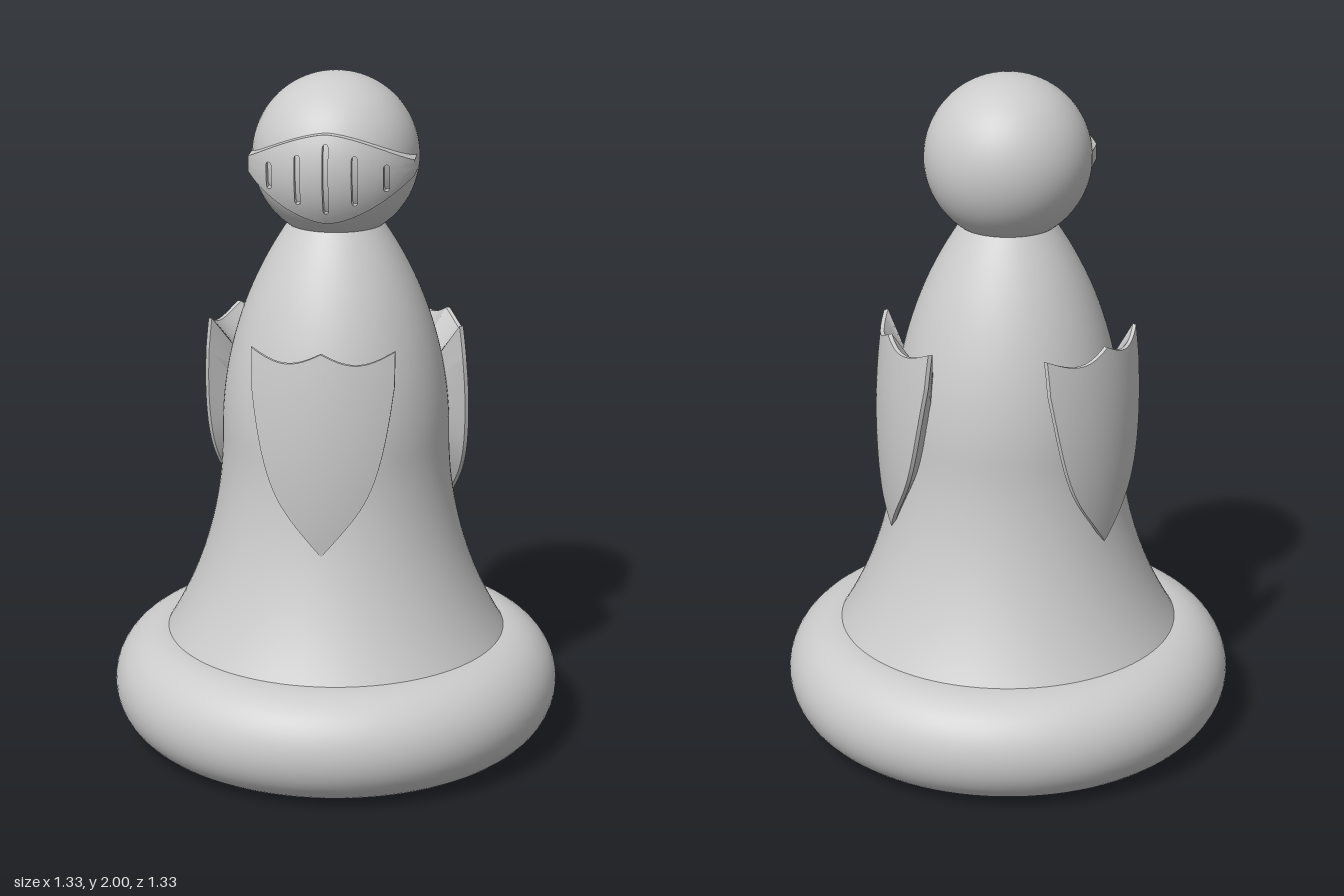
import * as THREE from 'three';
import { toCreasedNormals } from 'three/addons/utils/BufferGeometryUtils.js';

const material = new THREE.MeshStandardMaterial({ color: 0xcccccc });

function named(name, geometry) {
  const mesh = new THREE.Mesh(geometry, material);
  mesh.name = name;
  return mesh;
}

// Box whose vertices are moved by a rule; u, v, w each run from 0 to 1.
function bentBox(nx, ny, nz, rule) {
  const geometry = new THREE.BoxGeometry(1, 1, 1, nx, ny, nz);
  const pos = geometry.attributes.position;
  for (let i = 0; i < pos.count; i++) {
    const p = rule(pos.getX(i) + 0.5, pos.getY(i) + 0.5, pos.getZ(i) + 0.5);
    pos.setXYZ(i, p[0], p[1], p[2]);
  }
  return toCreasedNormals(geometry, 0.5);
}

// Flat-bottomed disc with a fully rounded rim
function makeBase() {
  const r = 0.165;
  const points = [new THREE.Vector2(0, 0)];
  for (let i = 0; i <= 24; i++) {
    const a = -Math.PI / 2 + (i / 24) * Math.PI;
    points.push(new THREE.Vector2(0.5 + r * Math.cos(a), r + r * Math.sin(a)));
  }
  points.push(new THREE.Vector2(0, 2 * r));
  return named('base', new THREE.LatheGeometry(points, 96));
}

// Flared skirt below the waist, rounded shoulders above it
function makeBody() {
  const waist = 0.94, waistRadius = 0.333;
  const points = [];
  for (let i = 0; i <= 40; i++) {
    const y = 0.325 + (i / 40) * 1.24;
    const d = y - waist;
    const bend = d < 0
      ? 1.18 - Math.sqrt(1.18 ** 2 - d * d)
      : Math.sqrt(1.098 ** 2 - d * d) - 1.098;
    points.push(new THREE.Vector2(waistRadius + bend, y));
  }
  return named('body', new THREE.LatheGeometry(points, 96));
}

// Curved visor wrapped on the head, with five upright slots
function makeVisor(headY) {
  const group = new THREE.Group();
  group.name = 'visor';
  const end = 0.236, inner = 0.237, outer = 0.265, slotHalf = 0.008;
  const top = (x) => 0.105 - 0.09 * Math.abs(x / end) ** 1.6;
  const bottom = (x) => -0.152 + 0.122 * Math.abs(x / end) ** 1.6;

  const addPiece = (x0, x1, low, high, nx) => {
    const geometry = bentBox(nx, 12, 1, (u, v, w) => {
      const x = x0 + (x1 - x0) * u;
      const y = low(x) + (high(x) - low(x)) * v;
      const r = w > 0.5 ? outer : inner;
      return [x, y, Math.sqrt(Math.max(0, r * r - x * x - y * y))];
    });
    group.add(named('visorPanel', geometry));
  };

  const slots = [
    { x: -0.165, low: -0.06, high: 0.017 },
    { x: -0.08, low: -0.095, high: 0.047 },
    { x: 0, low: -0.12, high: 0.08 },
    { x: 0.08, low: -0.095, high: 0.047 },
    { x: 0.165, low: -0.06, high: 0.017 },
  ];
  let start = -end;
  for (const slot of slots) {
    addPiece(start, slot.x - slotHalf, bottom, top, 8);
    // Round slot ends, with solid strips above and below
    const cap = (x) => Math.sqrt(Math.max(0, slotHalf ** 2 - (x - slot.x) ** 2)) - slotHalf;
    addPiece(slot.x - slotHalf, slot.x + slotHalf, (x) => slot.high + cap(x), top, 6);
    addPiece(slot.x - slotHalf, slot.x + slotHalf, bottom, (x) => slot.low - cap(x), 6);
    start = slot.x + slotHalf;
  }
  addPiece(start, end, bottom, top, 8);
  group.position.y = headY;
  return group;
}

// Domed shield: scalloped top, pointed foot, sides tapering back into the body
function makeShieldGeometry() {
  const half = 0.203, centreY = 1.0;
  return bentBox(40, 20, 2, (u, v, w) => {
    const x = half * (2 * u - 1);
    const s = Math.abs(2 * u - 1);
    const low = 0.67 + 0.25 * s + 0.25 * s ** 6;
    const high = 1.27 - 0.032 * Math.sin(Math.PI * s);
    const y = low + (high - low) * v;
    const front = 0.388 - 1.3 * x * x - 0.25 * (y - 0.97) ** 2;
    if (w > 0.75) return [x, y, front];
    if (w > 0.25) return [x, y, front - 0.012];
    return [x * 0.5, centreY + (y - centreY) * 0.5, 0.265];
  });
}

export function createModel() {
  const model = new THREE.Group();
  model.name = 'knightPawn';
  model.add(makeBase(), makeBody());

  const headY = 1.76;
  const head = named('head', new THREE.SphereGeometry(0.24, 64, 48));
  head.position.y = headY;
  model.add(head, makeVisor(headY));

  // Three shields spaced evenly round the body
  const shieldGeometry = makeShieldGeometry();
  ['frontShield', 'leftShield', 'rightShield'].forEach((name, i) => {
    const shield = named(name, shieldGeometry);
    shield.rotation.y = (i * 2 * Math.PI) / 3;
    model.add(shield);
  });
  return model;
}
